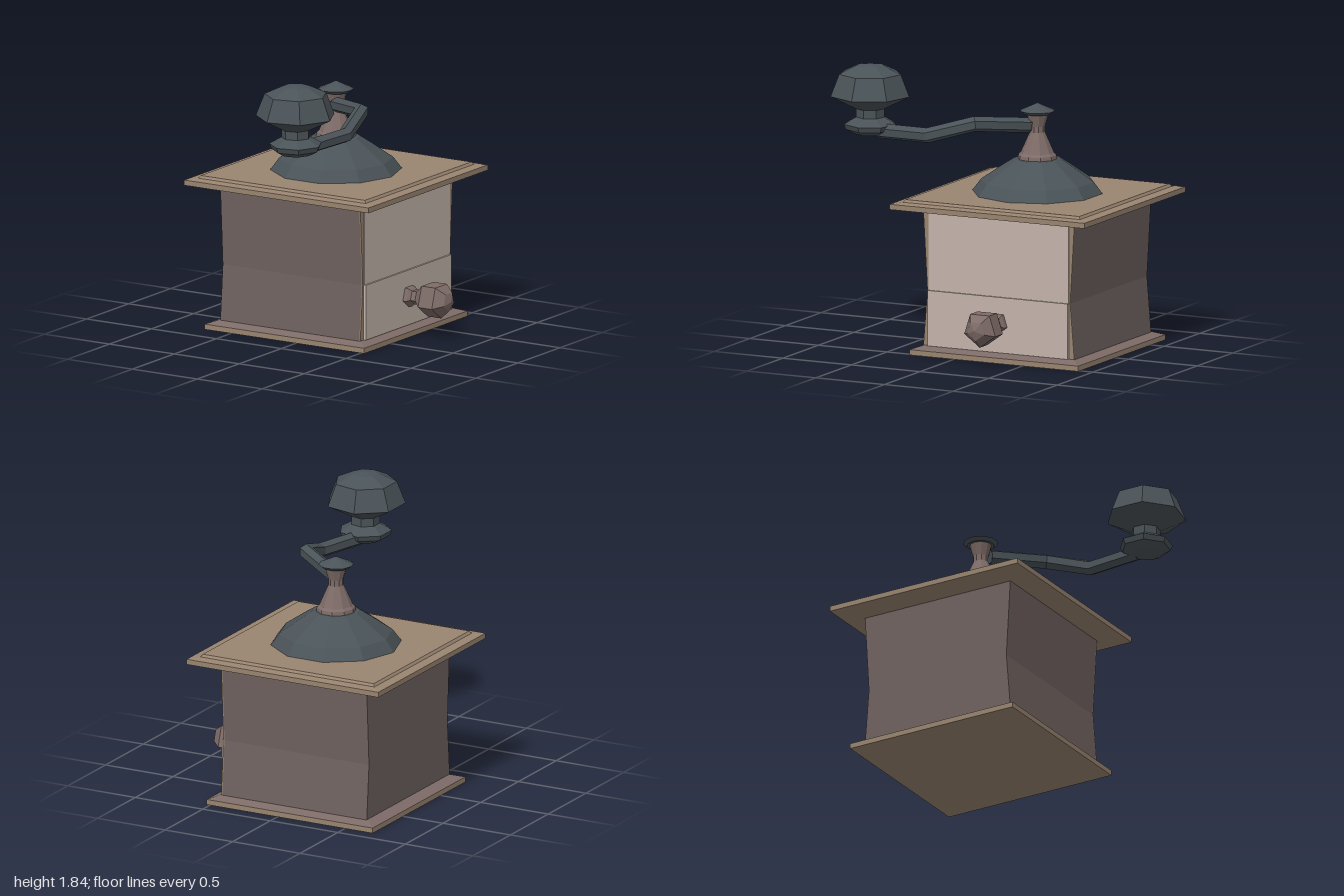
import * as THREE from 'three';

const mat = (name, color) => {
  const m = new THREE.MeshStandardMaterial({ color, flatShading: true });
  m.name = name;
  return m;
};

// Straight segments between points, sampled only at the corners
class BentPath extends THREE.Curve {
  constructor(points) { super(); this.points = points; }
  getPoint(t, target = new THREE.Vector3()) {
    const n = this.points.length - 1;
    const i = Math.min(Math.floor(t * n), n - 1);
    return target.lerpVectors(this.points[i], this.points[i + 1], t * n - i);
  }
  getPointAt(t, target) { return this.getPoint(t, target); }
  getTangentAt(t, target) { return this.getTangent(t, target); }
}

export function createModel() {
  const CX = -0.09, CZ = -0.29; // axis of the box
  const bodyWood = mat('dark body wood', 0x6f625f);
  const paleWood = mat('pale panel wood', 0xc3b3ab);
  const tanWood = mat('tan trim wood', 0x998470);
  const turnedWood = mat('turned brown wood', 0x7d6b67);
  const metal = mat('dark metal', 0x4a5358);

  const model = new THREE.Group();
  model.name = 'coffeeGrinder';
  const add = (name, geometry, material, x, y, z) => {
    const mesh = new THREE.Mesh(geometry, material);
    mesh.name = name;
    mesh.position.set(x, y, z);
    model.add(mesh);
    return mesh;
  };
  // Faceted turning; profile is [radius, height] from bottom to top, first corner on +x
  const turned = (profile, sides, phase = Math.PI / 2) =>
    new THREE.LatheGeometry(profile.map(([r, y]) => new THREE.Vector2(r, y)), sides, phase);
  // Square moulding; profile is [half width, height]
  const moulding = (profile) =>
    turned(profile.map(([h, y]) => [h * Math.SQRT2, y]), 4, Math.PI / 4);

  // Base plinth and its sloped top
  add('base', moulding([[0, 0], [0.615, 0], [0.615, 0.035]]), tanWood, CX, 0, CZ);
  add('baseSlope', moulding([[0.615, 0.035], [0.545, 0.06], [0, 0.06]]), turnedWood, CX, 0, CZ);

  // Waisted body, pinched at front and back
  const waist = new THREE.Shape([
    [-0.55, 0.05], [0.55, 0.05], [0.52, 0.425], [0.55, 0.95], [-0.55, 0.95], [-0.52, 0.425],
  ].map(([a, b]) => new THREE.Vector2(a, b)));
  const waisted = (depth) =>
    new THREE.ExtrudeGeometry(waist, { depth, bevelEnabled: false }).rotateY(Math.PI / 2);
  add('body', waisted(1.07), bodyWood, -0.625, 0, CZ);
  add('sideFrame', waisted(0.008), tanWood, 0.445, 0, CZ);

  // Side panel and drawer
  add('sidePanel', new THREE.BoxGeometry(0.02, 0.525, 1.02), paleWood, 0.448, 0.6875, CZ);
  add('drawer', new THREE.BoxGeometry(0.04, 0.365, 1.02), paleWood, 0.45, 0.2425, CZ);

  // Five-sided drawer knob
  const knob = add('drawerKnob', turned([
    [0.075, 0], [0.07, 0.03], [0.052, 0.05], [0.052, 0.085], [0.07, 0.105],
    [0.119, 0.15], [0.119, 0.255], [0.065, 0.315], [0, 0.335],
  ], 5), turnedWood, 0.465, 0.254, CZ);
  knob.rotation.z = -Math.PI / 2;

  // Lid with a raised field
  add('lid', moulding([
    [0, 0.945], [0.54, 0.945], [0.71, 0.965], [0.71, 1], [0.645, 1.008], [0.633, 1.025], [0, 1.025],
  ]), tanWood, CX, 0, CZ);

  // Dome, spindle and cap
  add('dome', turned([
    [0.43, 1.02], [0.37, 1.1], [0.225, 1.2], [0.155, 1.245], [0, 1.25],
  ], 10), metal, CX, 0, CZ);
  add('spindle', turned([
    [0.13, 1.24], [0.125, 1.27], [0.11, 1.285], [0.05, 1.42], [0.05, 1.46], [0.075, 1.55],
  ], 10), turnedWood, CX, 0, CZ);
  add('spindleCap', turned([
    [0, 1.54], [0.09, 1.54], [0.115, 1.56], [0, 1.612],
  ], 10), metal, CX, 0, CZ);

  // Bent crank arm with a closed inner end
  const path = new BentPath([
    [-0.055, 1.465, -0.245], [0.28, 1.51, -0.02], [0.35, 1.42, 0.28], [0.28, 1.405, 0.68],
  ].map((p) => new THREE.Vector3(...p)));
  add('crankArm', new THREE.TubeGeometry(path, 3, 0.05, 6), metal, 0, 0, 0);
  const [start, bend] = path.points;
  const end = add('crankArmEnd', new THREE.CircleGeometry(0.05, 6), metal, start.x, start.y, start.z);
  end.lookAt(start.clone().multiplyScalar(2).sub(bend));

  // Seven-sided crank handle
  add('crankHandle', turned([
    [0, 1.365], [0.1, 1.378], [0.16, 1.41], [0.175, 1.445], [0.095, 1.49], [0.095, 1.545],
    [0.262, 1.63], [0.205, 1.775], [0.09, 1.828], [0, 1.838],
  ], 7), metal, 0.27, 0, 0.742);

  return model;
}
